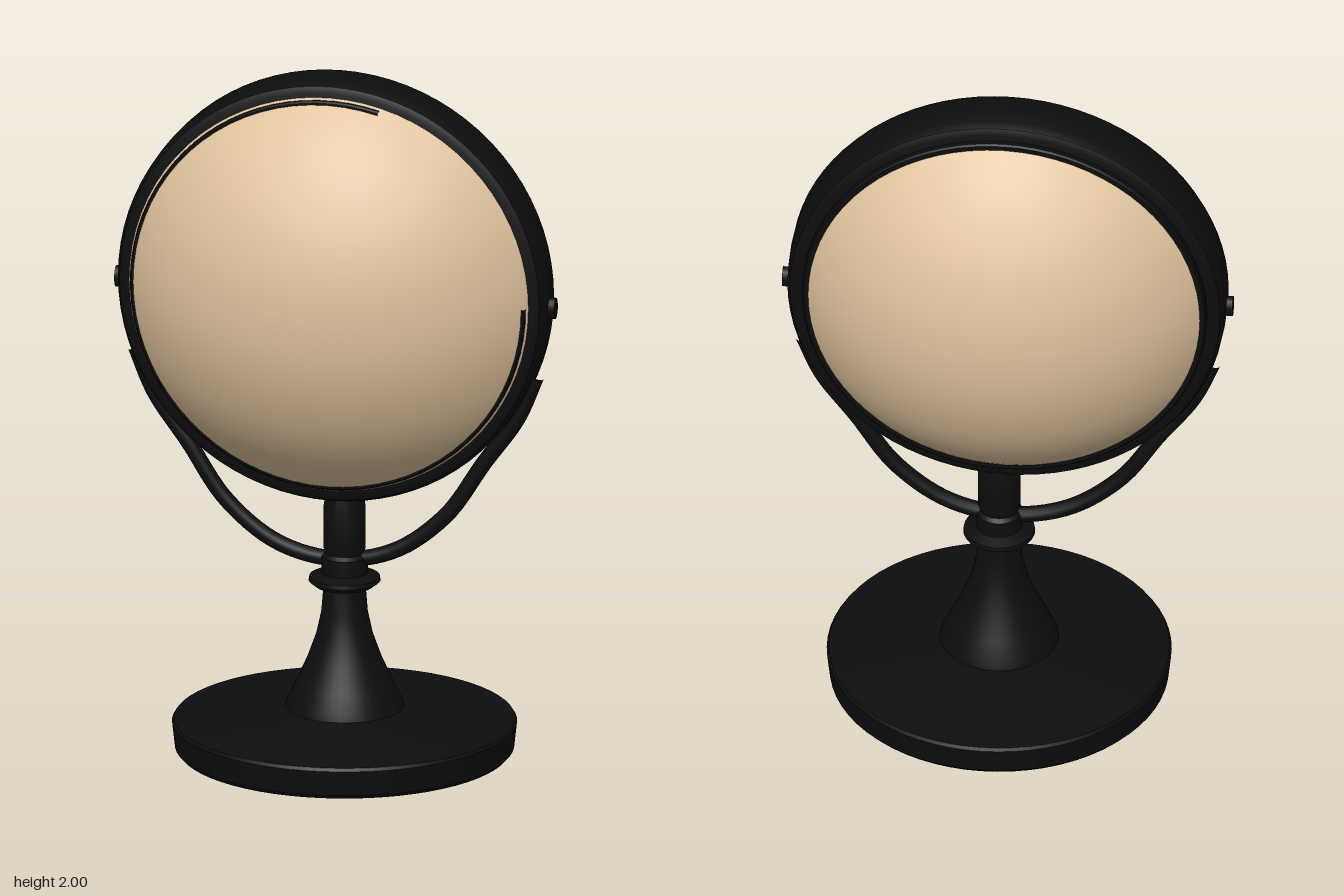
import * as THREE from 'three';
import { toCreasedNormals } from 'three/addons/utils/BufferGeometryUtils.js';

const black = new THREE.MeshStandardMaterial({ color: 0x0d0d0d });
black.name = 'black metal';
const tan = new THREE.MeshStandardMaterial({ color: 0xdec29c });
tan.name = 'warm tan';

const HEAD_Y = 1.375;

// Turned part: profile of [radius, height] from bottom to top
function turned(profile, segments = 64, start = 0, sweep = Math.PI * 2) {
  const points = profile.map(([r, y]) => new THREE.Vector2(r, y));
  return toCreasedNormals(new THREE.LatheGeometry(points, segments, start, sweep), 0.6);
}

function add(parent, name, geometry, material) {
  const mesh = new THREE.Mesh(geometry, material);
  mesh.name = name;
  parent.add(mesh);
  return mesh;
}

export function createModel() {
  const model = new THREE.Group();
  model.name = 'tableLamp';

  // Foot and stem, slightly off the head's axis
  const stand = new THREE.Group();
  stand.name = 'stand';
  stand.position.x = 0.025;
  model.add(stand);
  add(stand, 'base', turned([
    [0, 0], [0.47, 0], [0.481, 0.012], [0.489, 0.085], [0.483, 0.094], [0.17, 0.13], [0, 0.13],
  ]), black);
  add(stand, 'stem', turned([
    [0.17, 0.125], [0.163, 0.15], [0.137, 0.205], [0.105, 0.275], [0.08, 0.345], [0.066, 0.41],
    [0.06, 0.485], [0.082, 0.487], [0.102, 0.503], [0.1, 0.515], [0.066, 0.527],
    [0.066, 0.575], [0.055, 0.585], [0.06, 0.6], [0.06, 0.72], [0.05, 0.78], [0, 0.78],
  ], 40), black);

  // Curved fork carrying the head
  const half = [[0.585, 1.15], [0.53, 1.02], [0.432, 0.88], [0.32, 0.715], [0.17, 0.6]];
  const path = [
    ...half.map(([x, y]) => new THREE.Vector3(-x, y, 0)),
    new THREE.Vector3(0, 0.563, 0),
    ...half.slice().reverse().map(([x, y]) => new THREE.Vector3(x, y, 0)),
  ];
  add(model, 'fork', new THREE.TubeGeometry(new THREE.CatmullRomCurve3(path), 64, 0.023, 12), black);

  // Head: thick rim, turned so that its axis runs front to back
  const head = new THREE.Group();
  head.name = 'head';
  head.position.y = HEAD_Y;
  model.add(head);
  add(head, 'rim', turned([
    [0.54, -0.085], [0.595, -0.085], [0.613, -0.077], [0.623, -0.055], [0.625, 0],
    [0.623, 0.055], [0.613, 0.077], [0.595, 0.085], [0.54, 0.085],
  ], 80).rotateX(Math.PI / 2), black);

  // Shallow domes on both faces
  const R = 0.745;
  for (const [name, side, height] of [['frontDome', 1, 0.366], ['backDome', -1, 0.357]]) {
    const profile = [];
    for (let i = 0; i <= 20; i++) {
      const a = 0.9 * (1 - i / 20);
      profile.push([R * Math.sin(a), height - R + R * Math.cos(a)]);
    }
    add(head, name, turned(profile, 72).rotateX(side * Math.PI / 2), tan);
  }

  // Retaining lips; the front one is open over the upper left
  const lip = [[0.577, 0.08], [0.577, 0.1], [0.572, 0.105], [0.555, 0.105], [0.555, 0.08]];
  const deg = Math.PI / 180;
  add(head, 'frontLip', turned(lip, 64, 165 * deg, 285 * deg).rotateX(Math.PI / 2), black);
  add(head, 'backLip', turned(lip, 80).rotateX(-Math.PI / 2), black);

  // Pivot knobs at both sides
  for (const s of [-1, 1]) {
    const knob = add(head, s > 0 ? 'leftPivot' : 'rightPivot',
      new THREE.CylinderGeometry(0.031, 0.031, 0.06, 20).rotateZ(Math.PI / 2), black);
    knob.position.set(s * 0.612, -0.02, 0);
    knob.scale.z = 0.75;
  }
  return model;
}
